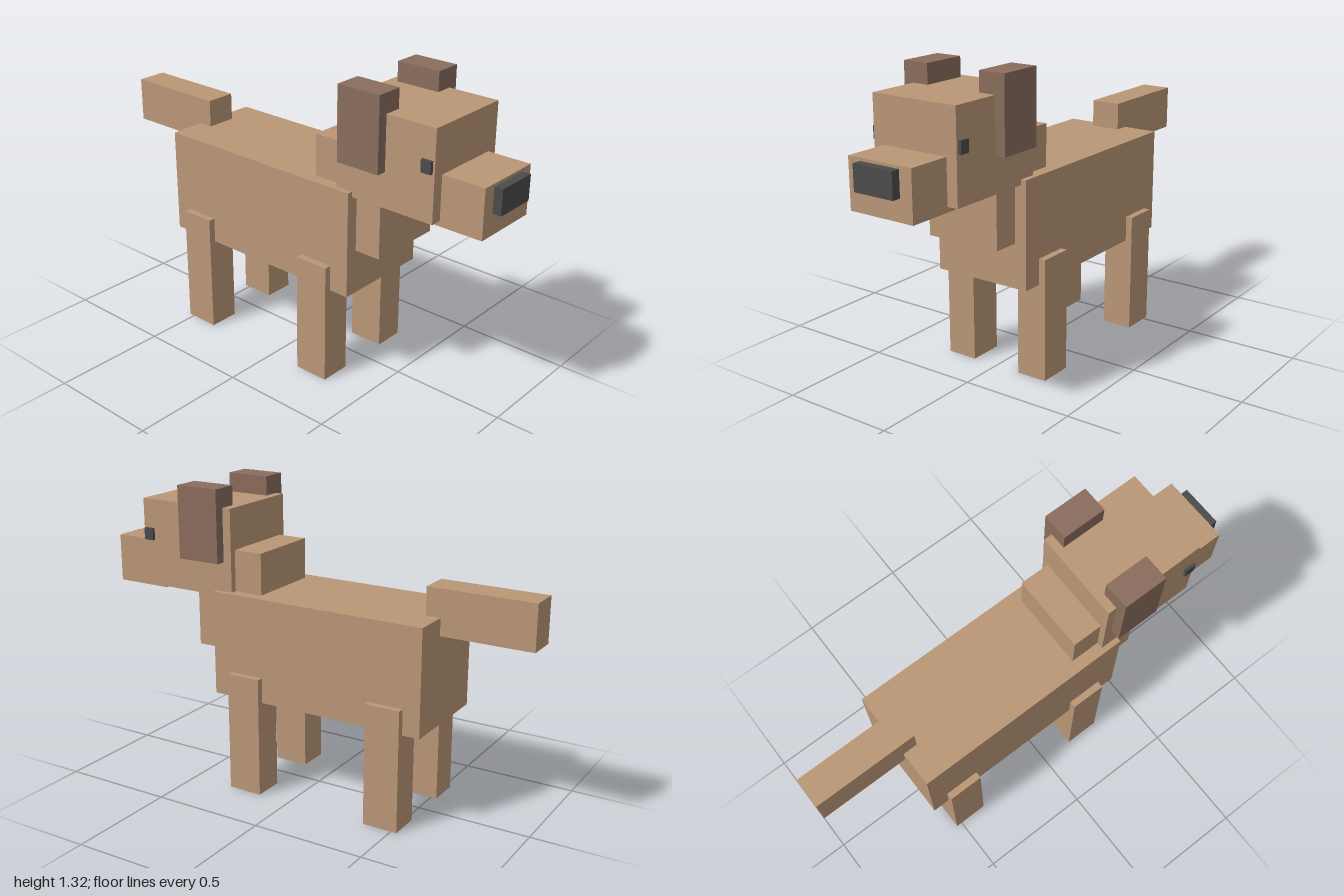
import * as THREE from 'three';

const makeMaterial = (name, color) => {
  const material = new THREE.MeshStandardMaterial({ color });
  material.name = name;
  return material;
};

export function createModel() {
  const model = new THREE.Group();
  model.name = 'dog';

  const tan = makeMaterial('tanFur', 0xb99776);
  const brown = makeMaterial('brownEar', 0x8a6d5d);
  const charcoal = makeMaterial('charcoal', 0x4b4b4b);

  // Box given by its [min, max] extent along each axis
  const addBox = (name, material, [x0, x1], [y0, y1], [z0, z1]) => {
    const mesh = new THREE.Mesh(new THREE.BoxGeometry(x1 - x0, y1 - y0, z1 - z0), material);
    mesh.position.set((x0 + x1) / 2, (y0 + y1) / 2, (z0 + z1) / 2);
    mesh.name = name;
    model.add(mesh);
  };

  // Box centred on x = 0
  const addCentred = (name, material, halfWidth, y, z) =>
    addBox(name, material, [-halfWidth, halfWidth], y, z);

  // Mirrored pair, with x measured outward from the centre
  const addPair = (name, material, [inner, outer], y, z) => {
    addBox(`left${name}`, material, [inner, outer], y, z);
    addBox(`right${name}`, material, [-outer, -inner], y, z);
  };

  // Trunk, neck and tail
  addCentred('body', tan, 0.224, [0.42, 0.88], [-0.602, 0.392]);
  addCentred('neck', tan, 0.171, [0.612, 1.06], [0.18, 0.51]);
  addCentred('tail', tan, 0.067, [0.805, 1.0], [-1.0, -0.537]);

  // Head and face
  addCentred('head', tan, 0.2, [0.858, 1.24], [0.312, 0.775]);
  addCentred('snout', tan, 0.152, [0.836, 1.046], [0.705, 0.963]);
  addCentred('nose', charcoal, 0.094, [0.926, 1.034], [0.955, 1.0]);
  addPair('Eye', charcoal, [0.19, 0.213], [1.06, 1.112], [0.72, 0.766]);
  addPair('Ear', brown, [0.126, 0.244], [1.008, 1.324], [0.35, 0.549]);

  // Legs
  addPair('FrontLeg', tan, [0.117, 0.254], [0, 0.532], [0.148, 0.304]);
  addPair('HindLeg', tan, [0.117, 0.254], [0, 0.532], [-0.526, -0.37]);

  return model;
}
